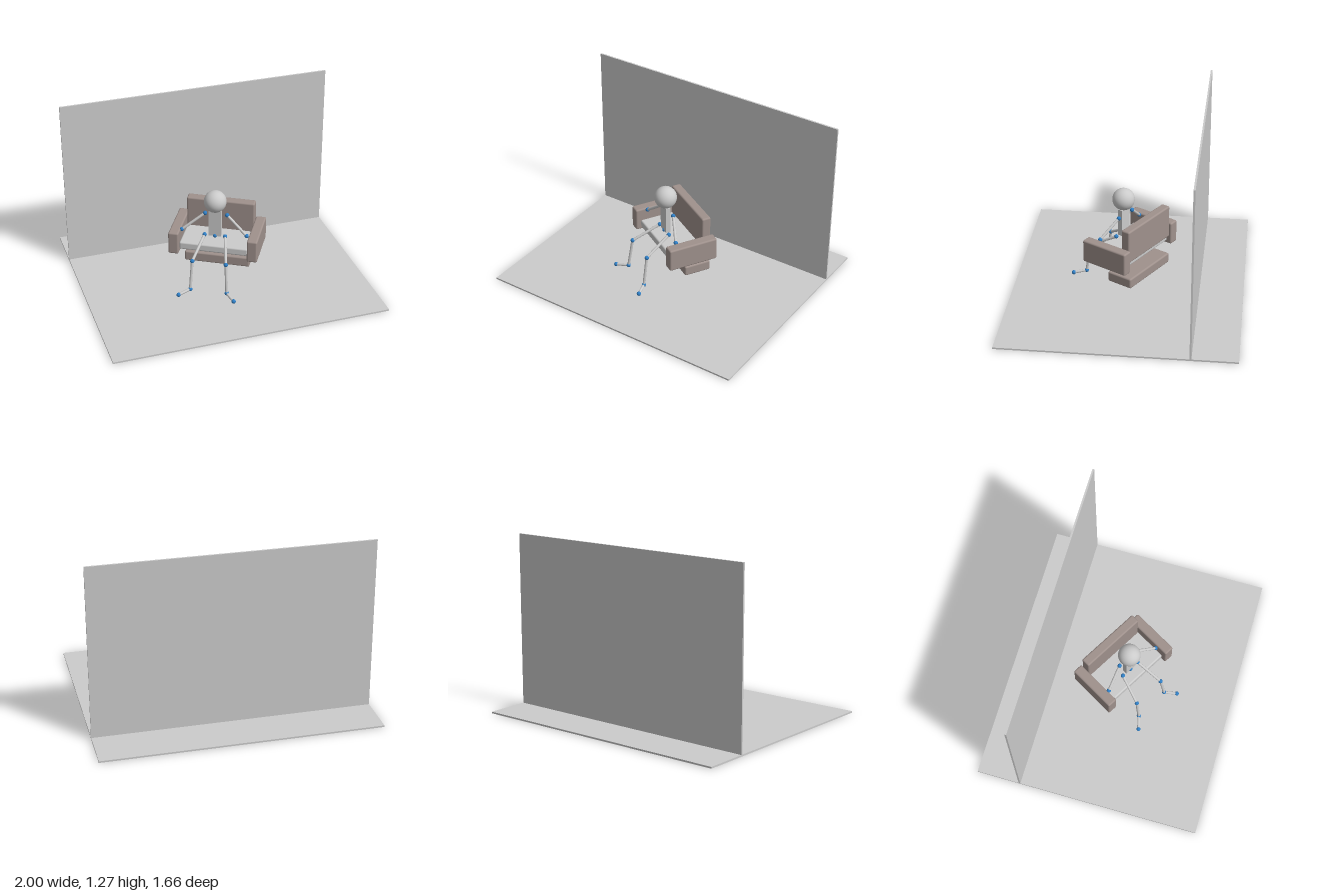
import * as THREE from 'three';
import { RoundedBoxGeometry } from 'three/addons/geometries/RoundedBoxGeometry.js';

function material(name, color, flatShading = false) {
  const m = new THREE.MeshStandardMaterial({ color, flatShading });
  m.name = name;
  return m;
}

export function createModel() {
  const model = new THREE.Group();
  model.name = 'seatedFigureScene';
  const grey = material('lightGrey', 0xcbcbcb);
  const brown = material('greyBrown', 0x9f918c);
  const blue = material('jointBlue', 0x2f7fc6);

  function add(parent, name, geometry, mat, x, y, z) {
    const mesh = new THREE.Mesh(geometry, mat);
    mesh.name = name;
    mesh.position.set(x, y, z);
    parent.add(mesh);
    return mesh;
  }

  // Room: floor slab and wall panel
  add(model, 'floor', new THREE.BoxGeometry(2, 0.012, 1.66), grey, 0, 0.006, 0);
  add(model, 'wall', new THREE.BoxGeometry(2, 1.262, 0.013), grey, 0, 0.641, -0.507);

  // Armchair, turned 30 degrees
  const TURN = -Math.PI / 6;
  const chair = new THREE.Group();
  chair.name = 'armchair';
  chair.rotation.y = TURN;
  model.add(chair);
  const cushion = (name, w, h, d, mat, x, y, z) =>
    add(chair, name, new RoundedBoxGeometry(w, h, d, 3, 0.012), mat, x, y, z);
  cushion('rightArmrest', 0.075, 0.17, 0.37, brown, -0.286, 0.332, 0);
  cushion('leftArmrest', 0.075, 0.17, 0.37, brown, 0.286, 0.332, 0);
  cushion('backrest', 0.5, 0.247, 0.068, brown, 0, 0.434, -0.136);
  cushion('seat', 0.5, 0.058, 0.3, grey, 0, 0.299, 0);
  cushion('base', 0.48, 0.077, 0.2, brown, 0, 0.138, -0.075);

  // Figure: head and torso
  const figure = new THREE.Group();
  figure.name = 'figure';
  model.add(figure);
  add(figure, 'head', new THREE.SphereGeometry(0.081, 32, 16), grey, -0.035, 0.647, 0.053);
  add(figure, 'torso', new THREE.BoxGeometry(0.09, 0.205, 0.036), grey, -0.035, 0.473, 0.053)
    .rotation.y = TURN;

  // Limbs: a ball at every joint and a rod between neighbours
  const ball = new THREE.SphereGeometry(0.0155, 16, 12);
  const limbs = {
    rightArm: [[-0.093, 0.532, -0.002], [-0.256, 0.408, -0.037]],
    leftArm: [[0.047, 0.532, 0.078], [0.152, 0.41, 0.2]],
    rightLeg: [[-0.106, 0.372, 0.026], [-0.245, 0.26, 0.172], [-0.269, 0.042, 0.196], [-0.364, 0.028, 0.221]],
    leftLeg: [[0.024, 0.372, 0.1], [-0.034, 0.26, 0.293], [-0.038, 0.042, 0.328], [-0.017, 0.028, 0.421]],
    pelvis: [[-0.04, 0.372, 0.063]],
  };
  const up = new THREE.Vector3(0, 1, 0);
  for (const [name, points] of Object.entries(limbs)) {
    const limb = new THREE.Group();
    limb.name = name;
    figure.add(limb);
    const joints = points.map((p) => new THREE.Vector3(...p));
    joints.forEach((p, i) => {
      add(limb, name + 'Joint', ball, blue, p.x, p.y, p.z);
      if (i === 0) return;
      const from = joints[i - 1];
      const span = p.clone().sub(from);
      const mid = p.clone().add(from).multiplyScalar(0.5);
      add(limb, name + 'Bone', new THREE.CylinderGeometry(0.01, 0.01, span.length(), 16), grey, mid.x, mid.y, mid.z)
        .quaternion.setFromUnitVectors(up, span.normalize());
    });
  }
  return model;
}
